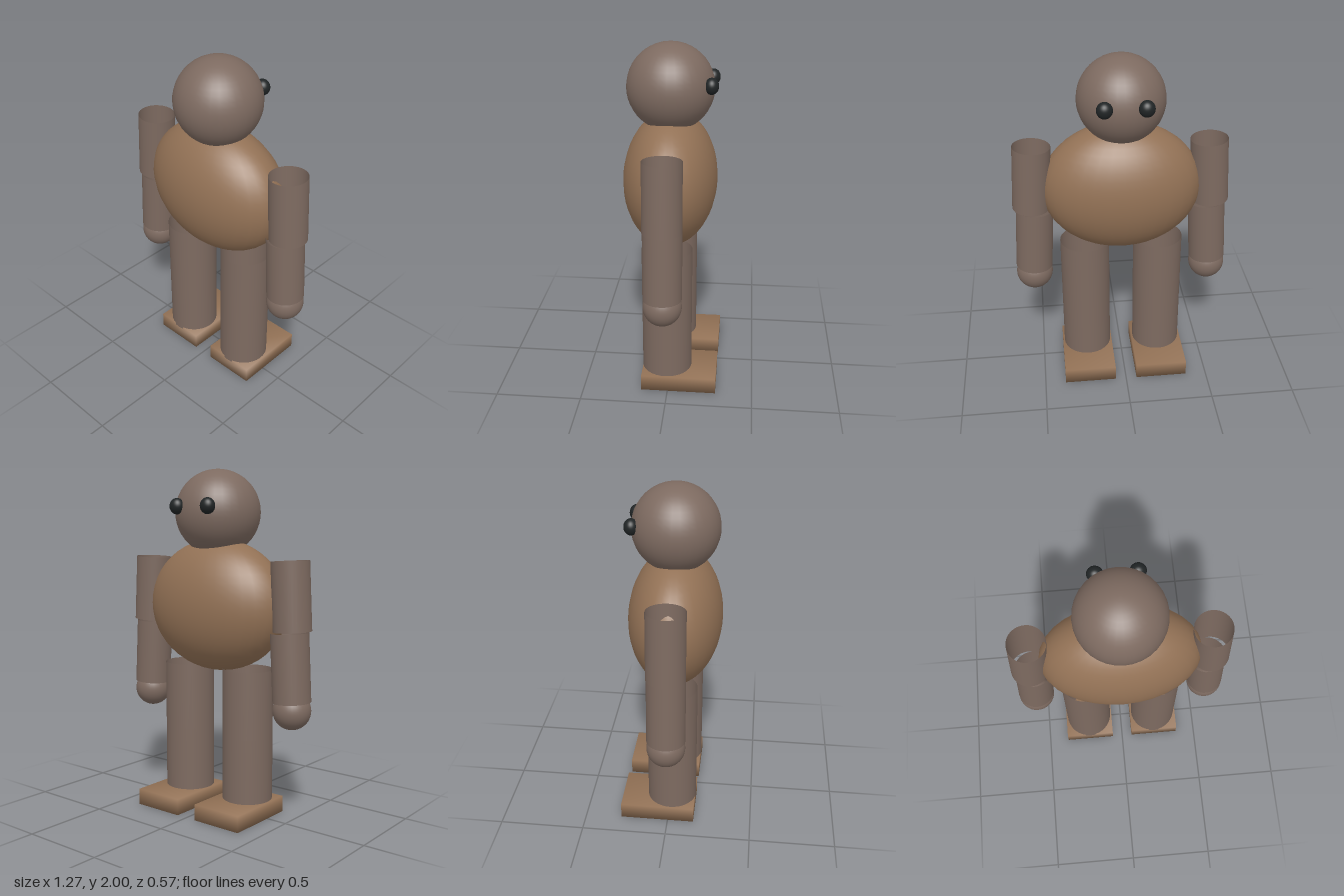
import * as THREE from 'three';
import { mergeVertices } from 'three/addons/utils/BufferGeometryUtils.js';

export function createModel() {
  const model = new THREE.Group();
  model.name = 'figure';

  const skin = new THREE.MeshStandardMaterial({ color: 0x7d6a60, side: THREE.DoubleSide });
  skin.name = 'greyBrown';
  const tan = new THREE.MeshStandardMaterial({ color: 0x927155 });
  tan.name = 'warmBrown';
  const black = new THREE.MeshStandardMaterial({ color: 0x202425 });
  black.name = 'eyeBlack';

  const add = (name, geometry, material, x, y, z) => {
    const mesh = new THREE.Mesh(geometry, material);
    mesh.name = name;
    mesh.position.set(x, y, z);
    model.add(mesh);
    return mesh;
  };
  const ellipsoid = (rx, ry, rz) => new THREE.SphereGeometry(1, 32, 24).scale(rx, ry, rz);
  // Limb segments are open tubes
  const tube = (radius, length) => new THREE.CylinderGeometry(radius, radius, length, 32, 1, true);

  // Head and torso
  add('torso', ellipsoid(0.461, 0.385, 0.27), tan, 0, 1.22, 0.012);
  add('head', ellipsoid(0.247, 0.247, 0.247), skin, 0, 1.753, 0.012);

  // Foot block with softened shading across its corners
  let foot = new THREE.BoxGeometry(0.31, 0.095, 0.44);
  foot.deleteAttribute('normal');
  foot.deleteAttribute('uv');
  foot = mergeVertices(foot);
  foot.computeVertexNormals();

  for (const [side, s] of [['left', 1], ['right', -1]]) {
    add(side + 'Eye', ellipsoid(0.044, 0.046, 0.04), black, s * 0.111, 1.786, -0.219);

    // Arms lean slightly outward towards the hands
    const upperArm = add(side + 'UpperArm', tube(0.108, 0.387), skin, s * 0.513, 1.296, 0.011);
    const forearm = add(side + 'Forearm', tube(0.108, 0.387), skin, s * 0.515, 0.901, 0.011);
    upperArm.rotation.z = forearm.rotation.z = s * 0.054;
    add(side + 'Hand', ellipsoid(0.108, 0.108, 0.108), skin, s * 0.526, 0.66, 0.011);

    // Legs and feet
    add(side + 'Thigh', tube(0.146, 0.39), skin, s * 0.219, 0.667, 0.014);
    add(side + 'Shin', tube(0.146, 0.39), skin, s * 0.219, 0.277, 0.014);
    add(side + 'Foot', foot, tan, s * 0.22, 0.0475, -0.064);
  }
  return model;
}
